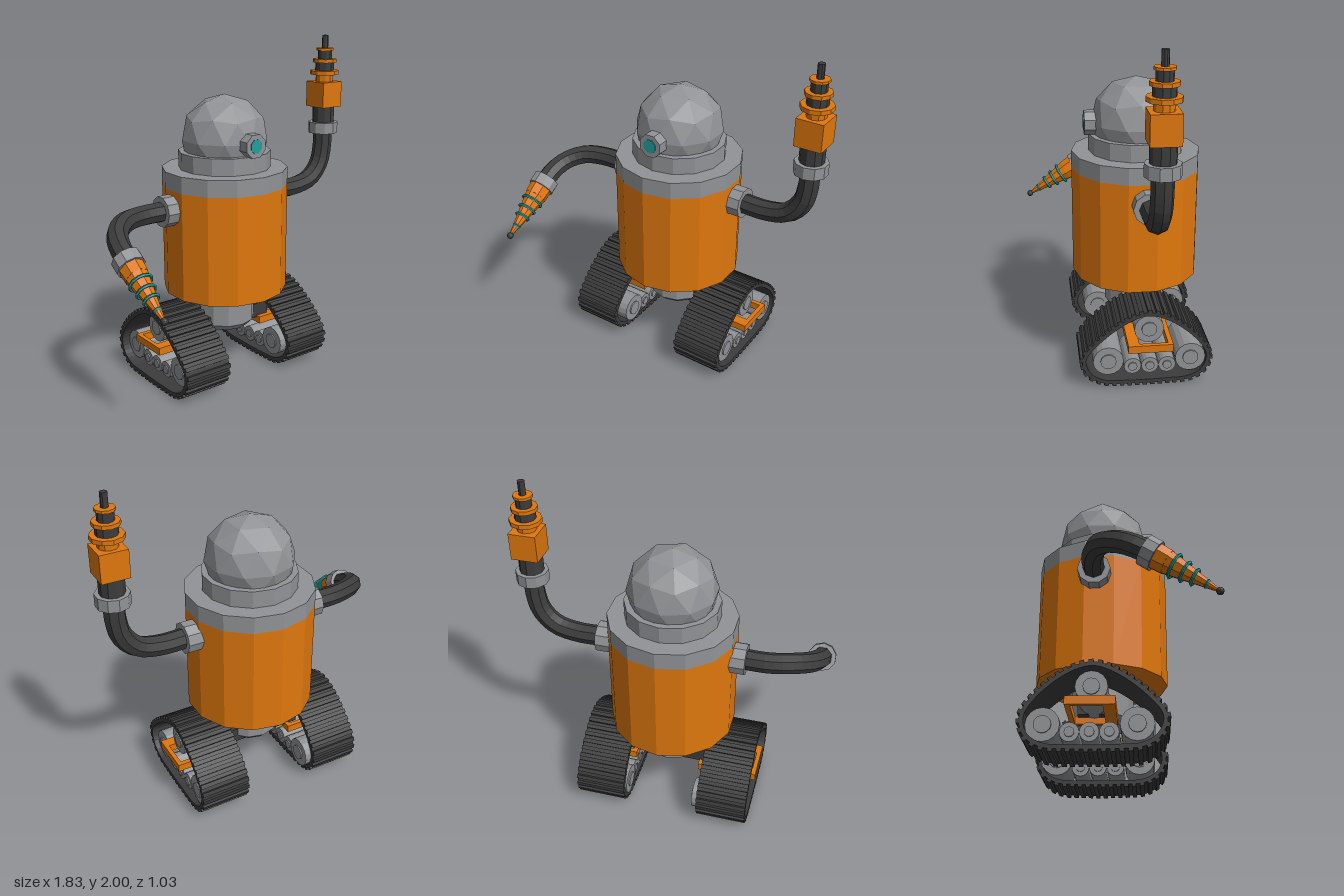
import * as THREE from 'three';

const mat = (name, color) => {
  const m = new THREE.MeshStandardMaterial({ color, flatShading: true });
  m.name = name;
  return m;
};

export function createModel() {
  const orange = mat('orange', 0xde770d);
  const grey = mat('grey', 0x919396);
  const dark = mat('dark rubber', 0x3c3c3c);
  const teal = mat('teal', 0x1f9e9c);
  const root = new THREE.Group();
  const CZ = -0.12, ARM_Z = -0.145, ARM_Y = 1.055;

  const add = (parent, name, geo, material, x = 0, y = 0, z = 0) => {
    const m = new THREE.Mesh(geo, material);
    m.name = name;
    m.position.set(x, y, z);
    parent.add(m);
    return m;
  };
  const group = (name, x = 0, y = 0, z = 0) => {
    const g = new THREE.Group();
    g.name = name;
    g.position.set(x, y, z);
    root.add(g);
    return g;
  };
  // upright drum between two heights
  const drum = (parent, name, y0, y1, r0, r1, sides, material, z = 0) =>
    add(parent, name, new THREE.CylinderGeometry(r1, r0, y1 - y0, sides), material, 0, (y0 + y1) / 2, z);
  // drum lying along x
  const xDrum = (parent, name, x0, x1, y, z, r, sides, material) =>
    add(parent, name, new THREE.CylinderGeometry(r, r, x1 - x0, sides).rotateZ(Math.PI / 2), material, (x0 + x1) / 2, y, z);

  // Body, neck and dome
  drum(root, 'pelvisBevel', 0.27, 0.31, 0.14, 0.18, 12, grey, CZ);
  drum(root, 'pelvis', 0.31, 0.53, 0.18, 0.18, 12, grey, CZ);
  drum(root, 'body', 0.52, 1.17, 0.375, 0.375, 14, orange, CZ);
  drum(root, 'bodyCap', 1.17, 1.27, 0.375, 0.375, 14, grey, CZ);
  drum(root, 'neck', 1.27, 1.37, 0.275, 0.275, 14, grey, CZ);
  add(root, 'headDome', new THREE.IcosahedronGeometry(0.26, 1).rotateZ(0.5536), grey, 0, 1.44, CZ);

  // Eye
  const eye = group('eye', 0, 1.435, 0);
  const disc = (r, d) => new THREE.CylinderGeometry(r, r, d, 8).rotateX(Math.PI / 2).rotateZ(Math.PI / 8);
  add(eye, 'eyeHousing', disc(0.072, 0.12), grey, 0, 0, 0.12);
  add(eye, 'eyeLens', disc(0.042, 0.006), teal, 0, 0, 0.181);

  // Axle block between the tracks
  add(root, 'axle', new THREE.BoxGeometry(0.56, 0.09, 0.18), dark, 0, 0.315, -0.14);

  // Track path, coordinates are (z, y), anticlockwise
  const path = new THREE.CatmullRomCurve3([
    [0.23, 0.18], [0.14, 0.3], [-0.02, 0.418], [-0.135, 0.455], [-0.26, 0.418], [-0.42, 0.29],
    [-0.485, 0.18], [-0.46, 0.085], [-0.38, 0.035], [-0.25, 0.025], [0, 0.025], [0.12, 0.035], [0.2, 0.085],
  ].map(([z, y]) => new THREE.Vector3(z, y, 0)), true);
  const offsetLoop = (d) => Array.from({ length: 64 }, (_, i) => {
    const p = path.getPointAt(i / 64), t = path.getTangentAt(i / 64);
    return new THREE.Vector2(p.x + t.y * d, p.y - t.x * d);
  });
  const wheels = [
    ['topWheel', 0.35, -0.143, 0.085, 0.22], ['frontWheel', 0.153, 0.09, 0.088, 0.205],
    ['backWheel', 0.153, -0.385, 0.088, 0.205], ['smallWheel', 0.113, -0.05, 0.05, 0.22],
    ['smallWheel', 0.113, -0.15, 0.05, 0.22], ['smallWheel', 0.113, -0.25, 0.05, 0.22],
  ];

  for (const side of [-1, 1]) {
    const track = group(side > 0 ? 'leftTrack' : 'rightTrack');
    const beltX = side > 0 ? 0.363 : -0.39, W = 0.3;

    // Belt and its cleats
    const shape = new THREE.Shape(offsetLoop(0.011));
    shape.holes.push(new THREE.Path(offsetLoop(-0.011)));
    const belt = new THREE.ExtrudeGeometry(shape, { depth: W, bevelEnabled: false });
    belt.rotateY(-Math.PI / 2).translate(W / 2, 0, 0);
    add(track, 'belt', belt, dark, beltX);
    const cleat = new THREE.BoxGeometry(W, 0.016, 0.024);
    const N = 42;
    for (let i = 0; i < N; i++) {
      const p = path.getPointAt(i / N), t = path.getTangentAt(i / N);
      const c = add(track, 'cleat', cleat, dark, beltX, p.y - t.x * 0.017, p.x + t.y * 0.017);
      c.rotation.x = -Math.atan2(t.y, t.x);
    }

    // Wheels with raised hubs
    for (const [name, y, z, r, inner] of wheels) {
      const outer = 0.49;
      const [a, b] = side > 0 ? [inner, outer] : [-outer, -inner];
      xDrum(track, name, a, b, y, z, r, 16, grey);
      xDrum(track, name + 'Hub', a - 0.008, b + 0.008, y, z, r * 0.52, 12, grey);
    }

    // Rectangular suspension frame
    const y = 0.257, h = 0.045;
    const bar = (x, w, z, d) => add(track, 'frameBar', new THREE.BoxGeometry(w, h, d), orange, side * x, y, z);
    bar(0.376, 0.358, -0.05, 0.065);
    bar(0.376, 0.358, -0.26, 0.028);
    bar(0.542, 0.026, -0.165, 0.18);
    bar(0.21, 0.026, -0.165, 0.18);

    // Shoulder collar
    const [s0, s1] = side > 0 ? [0.32, 0.44] : [-0.44, -0.32];
    xDrum(root, 'shoulder', s0, s1, ARM_Y, ARM_Z, 0.092, 10, grey);
  }

  const armTube = (name, pts) => add(root, name, new THREE.TubeGeometry(
    new THREE.CatmullRomCurve3(pts.map((p) => new THREE.Vector3(...p))), 14, 0.06, 8), dark);

  // Raised left arm with stepped antenna tool
  armTube('leftArm', [[0.4, ARM_Y, ARM_Z], [0.58, ARM_Y, ARM_Z], [0.71, 1.09, ARM_Z],
    [0.79, 1.18, ARM_Z], [0.815, 1.28, ARM_Z], [0.82, 1.4, ARM_Z]]);
  const tool = group('leftTool', 0.82, 0, ARM_Z);
  drum(tool, 'cuff', 1.38, 1.45, 0.095, 0.095, 10, grey);
  drum(tool, 'toolStem', 1.44, 1.55, 0.07, 0.07, 10, dark);
  add(tool, 'toolBlock', new THREE.BoxGeometry(0.158, 0.16, 0.158), orange, 0, 1.63, 0);
  drum(tool, 'toolCollar', 1.71, 1.756, 0.055, 0.055, 10, orange);
  for (const [y0, y1, r, material] of [
    [1.755, 1.78, 0.092, orange], [1.78, 1.83, 0.06, dark], [1.83, 1.852, 0.075, orange],
    [1.852, 1.905, 0.045, dark], [1.905, 1.92, 0.055, orange], [1.92, 2.0, 0.02, dark],
  ]) drum(tool, 'toolStep', y0, y1, r, r, 10, material);

  // Right arm reaching forward with ringed pointer
  armTube('rightArm', [[-0.4, ARM_Y, ARM_Z], [-0.57, 1.055, -0.143], [-0.7, 1.05, -0.105],
    [-0.79, 1.02, -0.03], [-0.83, 0.98, 0.06], [-0.84, 0.92, 0.17]]);
  const pointer = group('rightTool', -0.84, 0.92, 0.165);
  pointer.quaternion.setFromUnitVectors(new THREE.Vector3(0, 1, 0), new THREE.Vector3(0, -0.215, 0.335).normalize());
  drum(pointer, 'cuff', -0.035, 0.035, 0.083, 0.083, 10, grey);
  drum(pointer, 'pointerBase', 0.035, 0.1, 0.072, 0.068, 8, orange);
  drum(pointer, 'pointerCone', 0.1, 0.39, 0.066, 0.01, 8, orange);
  for (const [t, r] of [[0.14, 0.064], [0.2, 0.053], [0.256, 0.042], [0.325, 0.018]])
    add(pointer, 'pointerRing', new THREE.TorusGeometry(r, 0.009, 5, 12).rotateX(Math.PI / 2), teal, 0, t, 0);
  add(pointer, 'pointerTip', new THREE.IcosahedronGeometry(0.021, 1), dark, 0, 0.398, 0);

  return root;
}
